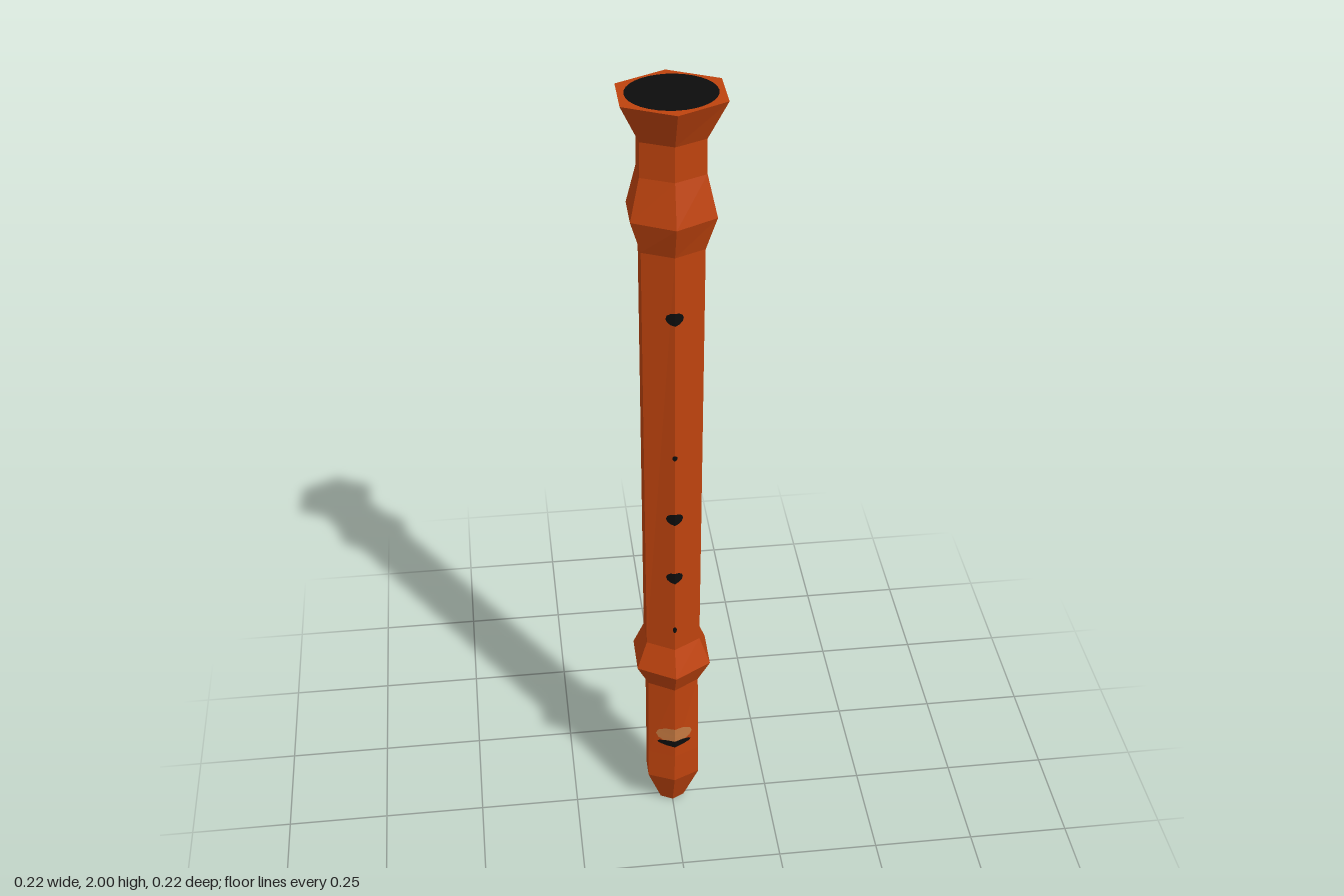
import * as THREE from 'three';

// Sections from foot to bell: height, half width, front ridge z, back ridge z
const SECTIONS = [
  [0, 0.03, 0.027, -0.033],
  [0.115, 0.065, 0.072, -0.041],
  [0.2, 0.064, 0.072, -0.042],
  [0.43, 0.062, 0.071, -0.072],
  [0.495, 0.09, 0.102, -0.104],
  [0.565, 0.065, 0.071, -0.074],
  [1.655, 0.069, 0.064, -0.064],
  [1.735, 0.092, 0.093, -0.093],
  [1.83, 0.071, 0.064, -0.064],
  [1.91, 0.07, 0.064, -0.064],
  [2, 0.11, 0.11, -0.11],
];

// Six corners of a section, with a ridge at the front and at the back
function ring([y, w, front, back]) {
  const mid = (front + back) / 2, q = (front - back) / 4;
  return [[0, y, front], [w, y, mid + q], [w, y, mid - q],
    [0, y, back], [-w, y, mid - q], [-w, y, mid + q]];
}

function bodyGeometry() {
  const rings = SECTIONS.map(ring);
  const points = [];
  const tri = (...corners) => corners.forEach((c) => points.push(...c));
  for (let i = 0; i < rings.length - 1; i++) {
    for (let j = 0; j < 6; j++) {
      const k = (j + 1) % 6;
      const a = rings[i][j], b = rings[i][k], c = rings[i + 1][k], d = rings[i + 1][j];
      tri(a, b, c);
      tri(a, c, d);
    }
  }
  // End caps
  const foot = rings[0], bell = rings[rings.length - 1];
  for (let j = 1; j < 5; j++) {
    tri(bell[0], bell[j], bell[j + 1]);
    tri(foot[0], foot[j + 1], foot[j]);
  }
  const geometry = new THREE.BufferGeometry();
  geometry.setAttribute('position', new THREE.Float32BufferAttribute(points, 3));
  geometry.computeVertexNormals();
  return geometry;
}

// Depth of the front faces at a given point
function frontZ(x, y) {
  let i = 0;
  while (i < SECTIONS.length - 2 && y > SECTIONS[i + 1][0]) i++;
  const a = SECTIONS[i], b = SECTIONS[i + 1];
  const t = (y - a[0]) / (b[0] - a[0]);
  const [w, front, back] = [1, 2, 3].map((n) => a[n] + (b[n] - a[n]) * t);
  return front - (Math.abs(x) / w) * (front - back) / 4;
}

// Thin oval folded over the front ridge
function ridgeOval(y, rx, ry, lift) {
  const geometry = new THREE.CircleGeometry(1, 12);
  geometry.scale(rx, ry, 1).translate(0, y, 0);
  const p = geometry.attributes.position;
  for (let i = 0; i < p.count; i++) p.setZ(i, frontZ(p.getX(i), p.getY(i)) + lift);
  const flat = geometry.toNonIndexed();
  flat.computeVertexNormals();
  return flat;
}

export function createModel() {
  const wood = new THREE.MeshStandardMaterial({ color: 0xbe430e });
  const hollow = new THREE.MeshStandardMaterial({ color: 0x0d0d0d });
  const paleWood = new THREE.MeshStandardMaterial({ color: 0xc47840 });
  wood.name = 'reddish wood';
  hollow.name = 'dark hollow';
  paleWood.name = 'pale wood';

  const model = new THREE.Group();
  model.name = 'woodenFlute';
  const add = (name, geometry, material) => {
    const mesh = new THREE.Mesh(geometry, material);
    mesh.name = name;
    model.add(mesh);
    return mesh;
  };

  add('body', bodyGeometry(), wood);

  // Bore openings at both ends
  const bell = add('bellOpening', new THREE.CircleGeometry(1, 32), hollow);
  bell.scale.set(0.097, 0.087, 1);
  bell.rotation.x = -Math.PI / 2;
  bell.position.y = 2.001;
  const mouth = add('mouthOpening', new THREE.CircleGeometry(0.019, 16), hollow);
  mouth.rotation.x = Math.PI / 2;
  mouth.position.set(0, -0.001, -0.003);

  // Finger holes: height, half width, half height
  [[1.505, 0.02, 0.016], [1.14, 0.006, 0.007], [0.965, 0.02, 0.016],
    [0.79, 0.02, 0.016], [0.63, 0.005, 0.009]].forEach(([y, rx, ry]) => {
    add('fingerHole', ridgeOval(y, rx, ry, 0.002), hollow);
  });

  // Sounding window with its dark slot
  add('windowRamp', ridgeOval(0.272, 0.046, 0.025, 0.002), paleWood);
  add('windowSlot', ridgeOval(0.246, 0.043, 0.01, 0.003), hollow);

  return model;
}
